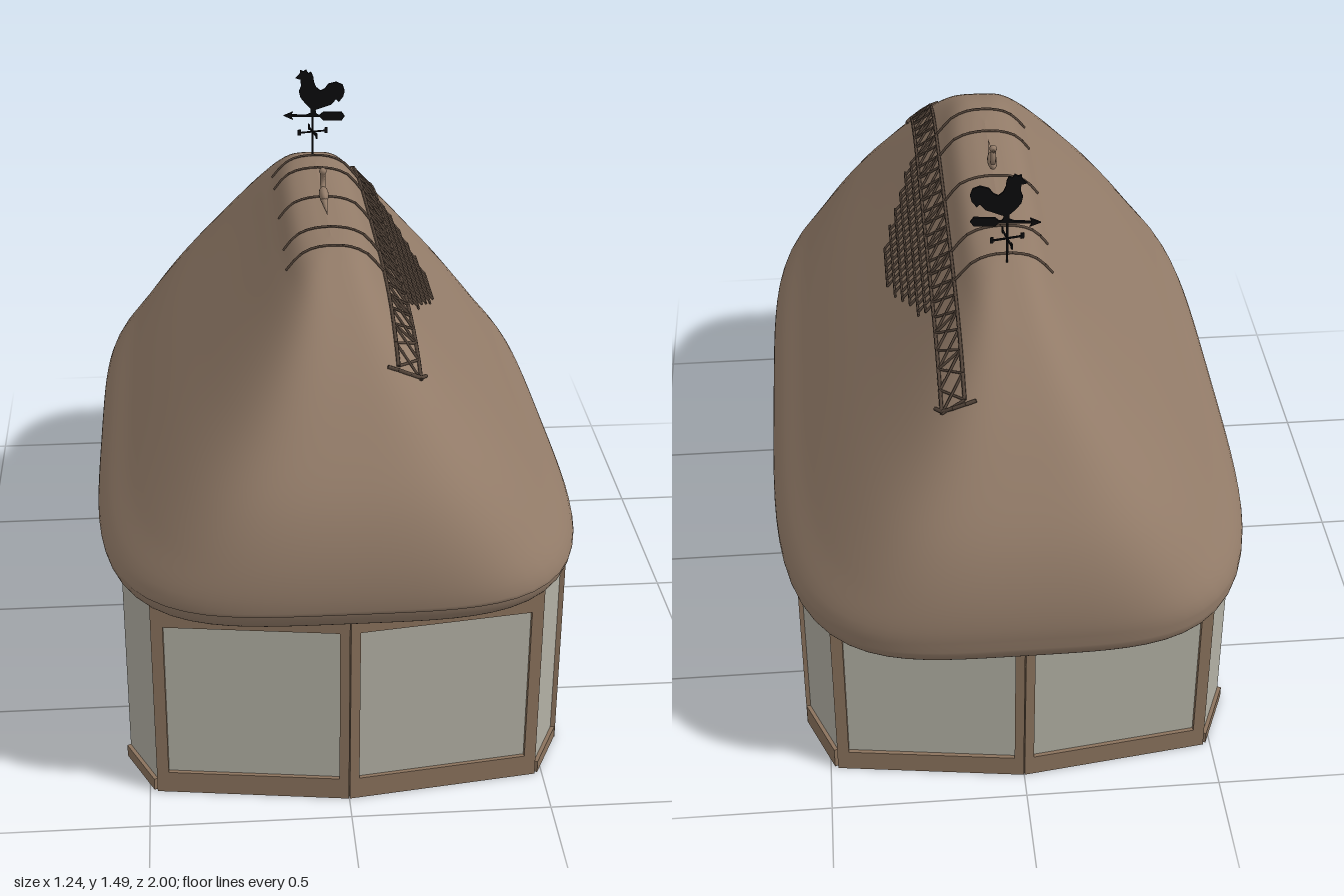
import * as THREE from 'three';
import { mergeGeometries } from 'three/addons/utils/BufferGeometryUtils.js';

const mat = (name, color) => {
  const m = new THREE.MeshStandardMaterial({ color, side: THREE.DoubleSide });
  m.name = name;
  return m;
};

// Roof rings: half-width, height, half-length, from the eave underside up to the ridge
const ROOF = new THREE.CatmullRomCurve3([
  [0.5, 0.495, 0.84], [0.585, 0.497, 0.95], [0.613, 0.525, 0.985], [0.617, 0.575, 1.0],
  [0.53, 0.69, 0.992], [0.427, 0.82, 0.945], [0.314, 0.955, 0.845], [0.206, 1.085, 0.716],
  [0.13, 1.18, 0.58], [0.085, 1.235, 0.45], [0.045, 1.252, 0.36], [0, 1.257, 0.28],
].map((p) => new THREE.Vector3(...p)));
const N = 4;
const RINGS = Array.from({ length: 67 }, (_, i) => ROOF.getPoint(i / 66));
const tilt = (y, z) => z * (y < 0.56 ? 0.045 : 0.03);

// Height of the thatch above a plan position
function roofY(x, z) {
  for (let i = RINGS.length - 1; i > 20; i--) {
    const f = (r) => Math.abs(x / Math.max(r.x, 1e-4)) ** N + Math.abs(z / r.z) ** N;
    const b = f(RINGS[i]), a = f(RINGS[i - 1]);
    if (a <= 1) {
      const t = b <= 1 ? 1 : (1 - a) / (b - a);
      const y = THREE.MathUtils.lerp(RINGS[i - 1].y, RINGS[i].y, t);
      return y + tilt(y, z);
    }
  }
  return 0.7;
}
const onRoof = (x, z, lift = 0.004) => new THREE.Vector3(x + (x > 0.08 ? lift * 0.7 : 0), roofY(x, z) + lift, z);

function roofGeometry() {
  const S = 96, pos = [], idx = [];
  RINGS.forEach((r, i) => {
    for (let j = 0; j < S; j++) {
      const a = (j / S) * Math.PI * 2, c = Math.cos(a), s = Math.sin(a);
      const k = (Math.abs(c) ** N + Math.abs(s) ** N) ** (-1 / N);
      const z = s * k * r.z;
      pos.push(c * k * r.x, r.y + tilt(r.y, z), z);
      if (i < RINGS.length - 1) {
        const p = i * S + j, q = i * S + ((j + 1) % S);
        idx.push(p, p + S, q, q, p + S, q + S);
      }
    }
  });
  const g = new THREE.BufferGeometry();
  g.setAttribute('position', new THREE.Float32BufferAttribute(pos, 3));
  g.setIndex(idx);
  g.computeVertexNormals();
  return g;
}

// Thin round rod between two points
function rod(a, b, r) {
  const d = new THREE.Vector3().subVectors(b, a);
  const g = new THREE.CylinderGeometry(r, r, d.length(), 5);
  g.applyQuaternion(new THREE.Quaternion().setFromUnitVectors(new THREE.Vector3(0, 1, 0), d.normalize()));
  return g.translate((a.x + b.x) / 2, (a.y + b.y) / 2, (a.z + b.z) / 2);
}
const chain = (pts, r) => pts.slice(1).map((p, i) => rod(pts[i], p, r));

export function createModel() {
  const model = new THREE.Group();
  const plaster = mat('plaster', 0xb2b0a4), timber = mat('timber', 0x8b735d);
  const doorWood = mat('door wood', 0x7f6652), thatch = mat('thatch', 0x927b68);
  const twig = mat('hazel twig', 0x54453a), iron = mat('black iron', 0x0b0b0d);
  const add = (parent, name, geo, m) => {
    const mesh = new THREE.Mesh(geo, m);
    mesh.name = name;
    parent.add(mesh);
    return mesh;
  };

  add(model, 'thatchedRoof', roofGeometry(), thatch);

  // Wall from one plan corner to the next; local x runs along it, local z points out
  const H = 0.575;
  function wall(name, [x0, z0], [x1, z1], hole) {
    const g = new THREE.Group(), len = Math.hypot(x1 - x0, z1 - z0);
    g.name = name;
    g.position.set(x0, 0, z0);
    g.rotation.y = Math.atan2(z0 - z1, x1 - x0);
    const s = new THREE.Shape([[0, 0], [len, 0], [len, H], [0, H]].map((p) => new THREE.Vector2(...p)));
    if (hole) {
      const [a, b, c, d] = hole;
      s.holes.push(new THREE.Path([[a, c], [a, d], [b, d], [b, c]].map((p) => new THREE.Vector2(...p))));
    }
    add(g, name + 'Plaster', new THREE.ShapeGeometry(s), plaster);
    model.add(g);
    g.userData.len = len;
    return g;
  }
  const beam = (g, name, u0, u1, y0, y1, m = timber, t = 0.014) =>
    add(g, name, new THREE.BoxGeometry(u1 - u0, y1 - y0, t).translate((u0 + u1) / 2, (y0 + y1) / 2, 0.003), m);

  // Bowed end walls, each of two framed panels
  const F = [0, 0.92], B = [0, -0.92];
  const ends = [
    wall('frontWallRight', [-0.48, 0.855], F), wall('frontWallLeft', F, [0.48, 0.855]),
    wall('backWallLeft', [0.48, -0.855], B), wall('backWallRight', B, [-0.48, -0.855]),
  ];
  ends.forEach((g, i) => {
    const L = g.userData.len, outer = i % 2 === 0;
    beam(g, 'sill', 0, L, 0, 0.06);
    beam(g, 'topBeam', 0, L, 0.495, H);
    beam(g, 'leftPost', 0, outer ? 0.03 : 0.024, 0, H);
    beam(g, 'rightPost', L - (outer ? 0.024 : 0.03), L, 0, H);
  });

  // Chamfered corners and the plain wall
  [
    wall('frontLeftCorner', [0.48, 0.855], [0.55, 0.71]), wall('backLeftCorner', [0.55, -0.69], [0.48, -0.855]),
    wall('backRightCorner', [-0.48, -0.855], [-0.55, -0.69]), wall('frontRightCorner', [-0.55, 0.71], [-0.48, 0.855]),
  ].forEach((g, i) => beam(g, 'cornerSill', 0, g.userData.len, 0, i === 1 ? 0.06 : 0.033));
  wall('plainSideWall', [-0.55, -0.69], [-0.55, 0.71]);

  // Half-timbered side with window and door; u = 0.71 - z
  const U = (z) => 0.71 - z;
  const side = wall('timberedWall', [0.55, 0.71], [0.55, -0.69], [U(0.42), U(0.28), 0.25, 0.395]);
  beam(side, 'sill', 0, 1.4, 0, 0.06);
  beam(side, 'topBeam', 0, 1.4, 0.505, H);
  for (const z of [0.7, 0.47, 0.232, 0.007, -0.227, -0.463, -0.677]) beam(side, 'post', U(z) - 0.016, U(z) + 0.016, 0, H);
  beam(side, 'doorLintel', U(-0.01), U(-0.21), 0.415, 0.438);
  beam(side, 'door', U(-0.01), U(-0.21), 0.04, 0.415, doorWood, 0.012);
  for (const y of [0.235, 0.313, 0.392]) beam(side, 'windowBar', U(0.437), U(0.265), y, y + (y === 0.313 ? 0.012 : 0.02), doorWood, 0.018);
  for (const z of [0.437, 0.357, 0.285]) beam(side, 'windowUpright', U(z), U(z) + (z === 0.357 ? 0.012 : 0.02), 0.235, 0.412, doorWood, 0.018);
  for (const [foot, head] of [[0.69, 0.475], [-0.685, -0.47]]) {
    const a = U(foot), b = U(head), d = Math.sign(b - a) * 0.02;
    const s = new THREE.Shape();
    s.moveTo(a, 0.1);
    s.quadraticCurveTo(a + d * 2.3, 0.39, b, 0.505);
    s.lineTo(b, 0.475);
    s.quadraticCurveTo(a + d * 3.2, 0.36, a + d, 0.1);
    add(side, 'curvedBrace', new THREE.ExtrudeGeometry(s, { depth: 0.01, bevelEnabled: false, curveSegments: 14 }), timber);
  }

  // Ridge rods
  const ridge = [];
  for (const z of [-0.36, -0.24, 0, 0.23, 0.355]) {
    ridge.push(...chain(Array.from({ length: 13 }, (_, i) => onRoof(-0.118 + i * 0.0203, z)), 0.0035));
  }
  add(model, 'ridgeRods', mergeGeometries(ridge), twig);

  // Crossed lattice band along one slope, hooked at both ends
  const band = [], X0 = 0.127, X1 = 0.182, CELLS = 24;
  const zAt = (i) => -0.705 + (i * 1.41) / CELLS;
  for (const x of [X0, X1]) band.push(...chain(Array.from({ length: CELLS + 1 }, (_, i) => onRoof(x, zAt(i))), 0.005));
  for (let i = 0; i < CELLS; i++) {
    band.push(rod(onRoof(X0, zAt(i)), onRoof(X1, zAt(i + 1)), 0.0035));
    band.push(rod(onRoof(X1, zAt(i)), onRoof(X0, zAt(i + 1)), 0.0035));
    if (i % 2 === 0) band.push(rod(onRoof(X0, zAt(i)), onRoof(X1, zAt(i)), 0.0035));
  }
  for (const s of [-1, 1]) {
    band.push(...chain([[0.1, 0.715], [0.125, 0.715], [0.155, 0.71], [0.182, 0.7], [0.197, 0.68]].map(([x, z]) => onRoof(x, z * s)), 0.005));
  }
  add(model, 'latticeBand', mergeGeometries(band), twig);

  // Stepped netting below the band
  const net = [], rows = [0.36, 0.345, 0.27, 0.22, 0.17, 0.09];
  const rowX = (i) => 0.2 + i * 0.0175;
  rows.forEach((h, i) => {
    const n = Math.ceil(h / 0.06) * 2;
    net.push(...chain(Array.from({ length: n + 1 }, (_, k) => onRoof(rowX(i), -h + (2 * h * k) / n)), 0.0035));
  });
  for (let k = -12; k <= 12; k++) {
    const z = k * 0.03;
    let last = 0;
    rows.forEach((h, i) => { if (h >= Math.abs(z) - 1e-6) last = i; });
    net.push(rod(onRoof(X1, z), onRoof(rowX(last), z), 0.0035));
  }
  add(model, 'thatchNetting', mergeGeometries(net), twig);

  // Straw bird on the ridge
  const bird = new THREE.Group();
  bird.name = 'strawBird';
  add(bird, 'birdBody', new THREE.SphereGeometry(1, 14, 10).scale(0.013, 0.017, 0.038).translate(0, 1.281, 0.04), thatch);
  add(bird, 'birdTail', new THREE.ConeGeometry(0.011, 0.12, 10).rotateX(Math.PI / 2).translate(0, 1.274, 0.112), thatch);
  const neck = new THREE.QuadraticBezierCurve3(
    new THREE.Vector3(0, 1.285, 0.02), new THREE.Vector3(0, 1.3, -0.004), new THREE.Vector3(0, 1.33, 0.012));
  add(bird, 'birdNeck', new THREE.TubeGeometry(neck, 8, 0.007, 8), thatch);
  add(bird, 'birdHead', new THREE.SphereGeometry(0.01, 10, 8).translate(0, 1.334, 0.01), thatch);
  add(bird, 'birdBeak', new THREE.ConeGeometry(0.004, 0.016, 6).rotateX(-Math.PI / 2).translate(0, 1.332, -0.006), thatch);
  add(bird, 'birdLeg', new THREE.CylinderGeometry(0.003, 0.003, 0.03, 6).translate(0, 1.26, 0.04), thatch);
  model.add(bird);

  // Weathervane: pole, compass arms, arrow and cockerel
  const vane = new THREE.Group();
  vane.name = 'weathervane';
  vane.position.z = -0.387;
  vane.rotation.y = -0.1;
  add(vane, 'vanePole', new THREE.CylinderGeometry(0.003, 0.003, 0.16, 8).translate(0, 1.28, 0), iron);
  for (const a of [0, 1, 2, 3]) {
    const arm = new THREE.Group();
    arm.name = 'compassArm';
    arm.rotation.y = (a * Math.PI) / 2 + 0.3;
    add(arm, 'armBar', new THREE.BoxGeometry(0.042, 0.004, 0.004).translate(0.021, 1.305, 0), iron);
    add(arm, 'armEnd', new THREE.BoxGeometry(0.009, 0.016, 0.003).translate(0.039, 1.306, 0), iron);
    vane.add(arm);
  }
  const plate = (name, pts) => {
    const s = new THREE.Shape(pts.map(([x, y]) => new THREE.Vector2(x / 1000, 1.35 + y / 1000)));
    add(vane, name, new THREE.ExtrudeGeometry(s, { depth: 0.006, bevelEnabled: false }).translate(0, 0, -0.003), iron);
  };
  plate('vaneArrow', [[-82, 2], [-55, -10], [-60, -1], [20, -1], [30, -10], [82, -10], [90, 2], [82, 14], [30, 14], [20, 5], [-60, 5], [-55, 14]]);
  plate('cockerel', [[-20, 4], [16, 4], [10, 10], [8, 20], [30, 28], [52, 36], [66, 52], [74, 44], [86, 60], [90, 76], [84, 94],
    [66, 102], [44, 96], [34, 82], [22, 76], [10, 86], [4, 100], [2, 116], [-4, 130], [-12, 126], [-18, 136], [-26, 131],
    [-34, 135], [-36, 124], [-48, 112], [-34, 108], [-32, 90], [-38, 74], [-34, 56], [-20, 38], [-6, 24], [-6, 10]]);
  model.add(vane);

  return model;
}
